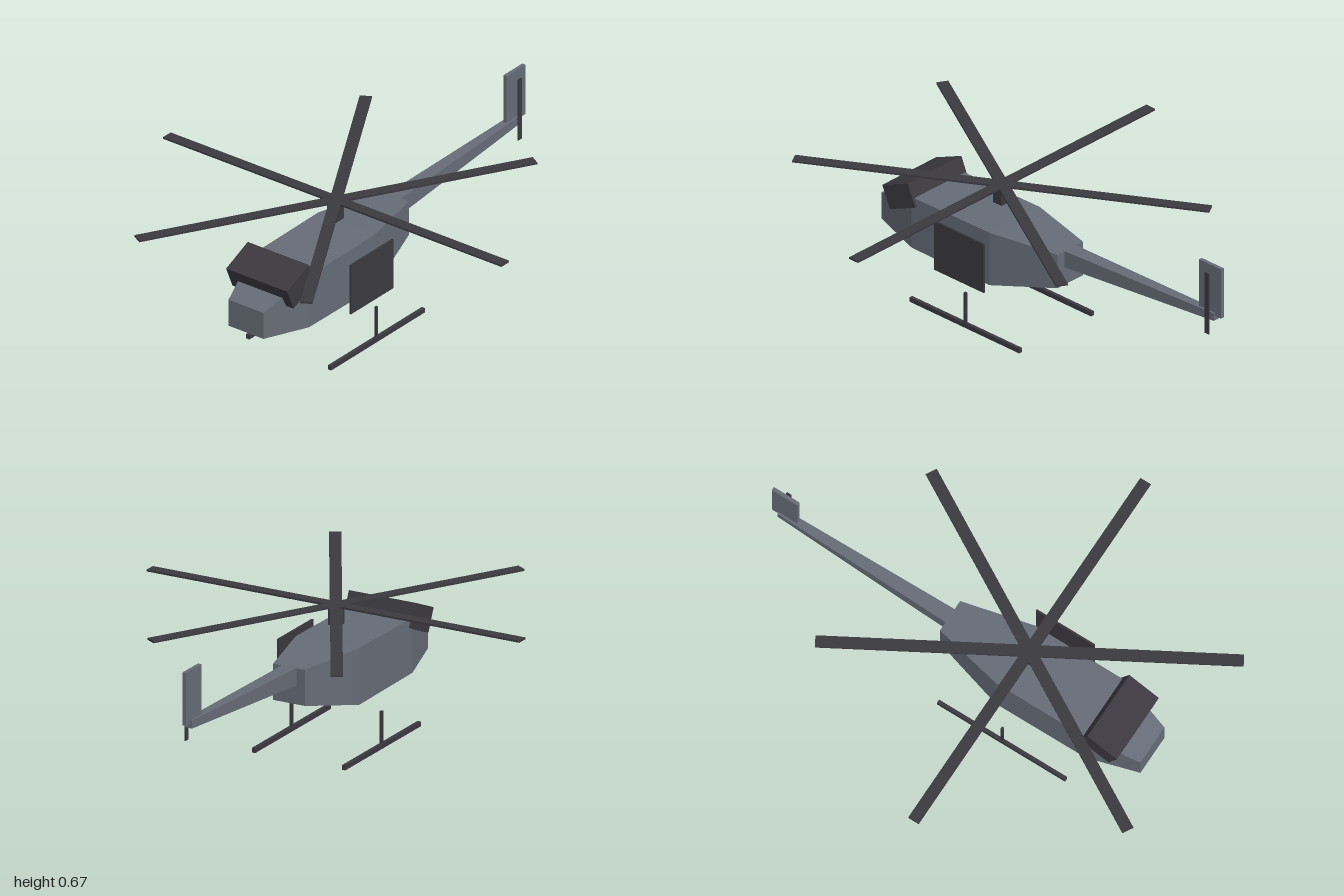
import * as THREE from 'three';

// Lofts rectangular cross-sections [z, halfWidth, yBottom, yTop], listed front to back
function loft(sections) {
  const rings = sections.map(([z, w, b, t]) => [[-w, b, z], [w, b, z], [w, t, z], [-w, t, z]]);
  const pos = [];
  const quad = (a, b, c, d) => [a, b, c, a, c, d].forEach((p) => pos.push(...p));
  quad(...rings[0]);
  for (let i = 0; i < rings.length - 1; i++) {
    const f = rings[i], r = rings[i + 1];
    for (let k = 0; k < 4; k++) {
      const n = (k + 1) % 4;
      quad(f[n], f[k], r[k], r[n]);
    }
  }
  quad(...rings[rings.length - 1].slice().reverse());
  const geometry = new THREE.BufferGeometry();
  geometry.setAttribute('position', new THREE.Float32BufferAttribute(pos, 3));
  geometry.computeVertexNormals();
  return geometry;
}

export function createModel() {
  const model = new THREE.Group();
  model.name = 'helicopter';

  const slate = new THREE.MeshStandardMaterial({ color: 0x666c77, flatShading: true });
  slate.name = 'slate grey';
  const charcoal = new THREE.MeshStandardMaterial({ color: 0x3b393f, flatShading: true });
  charcoal.name = 'charcoal';

  const add = (name, geometry, material, x = 0, y = 0, z = 0, parent = model) => {
    const mesh = new THREE.Mesh(geometry, material);
    mesh.name = name;
    mesh.position.set(x, y, z);
    parent.add(mesh);
    return mesh;
  };
  const box = (w, h, d) => new THREE.BoxGeometry(w, h, d);

  // Fuselage and tail boom
  add('fuselage', loft([
    [0.825, 0.09, 0.225, 0.345],
    [0.6, 0.147, 0.2, 0.435],
    [0.165, 0.147, 0.196, 0.44],
    [-0.148, 0.075, 0.275, 0.43],
  ]), slate);
  add('tailBoom', loft([
    [-0.14, 0.034, 0.355, 0.43],
    [-0.967, 0.016, 0.42, 0.455],
  ]), slate);
  add('tailFin', box(0.016, 0.228, 0.123), slate, 0, 0.554, -0.9385);
  add('tailRotor', box(0.006, 0.28, 0.022), charcoal, 0.0255, 0.495, -0.939);

  // Tilted canopy and the side door held off the hull
  const canopy = add('canopy', box(0.314, 0.105, 0.155), charcoal, 0, 0.418, 0.663);
  canopy.rotation.x = THREE.MathUtils.degToRad(23.5);
  add('sideDoor', box(0.008, 0.226, 0.28), charcoal, 0.211, 0.313, 0.271);

  // Main rotor: three full-length bars make six blades
  const rotor = new THREE.Group();
  rotor.name = 'mainRotor';
  rotor.position.set(0, 0.58, 0.234);
  model.add(rotor);
  add('rotorHub', box(0.05, 0.084, 0.048), charcoal, 0, -0.043, 0.003, rotor);
  for (let i = 0; i < 3; i++) {
    const blade = add('rotorBlade', box(1.736, 0.008, 0.05), charcoal, 0, 0, 0, rotor);
    blade.rotation.y = (i * Math.PI) / 3;
  }

  // Landing skids with a single strut each
  for (const side of [-1, 1]) {
    const name = side > 0 ? 'left' : 'right';
    add(name + 'Skid', box(0.016, 0.02, 0.615), charcoal, side * 0.21, 0.01, 0.237);
    add(name + 'Strut', box(0.011, 0.14, 0.011), charcoal, side * 0.21, 0.089, 0.238);
  }

  return model;
}
